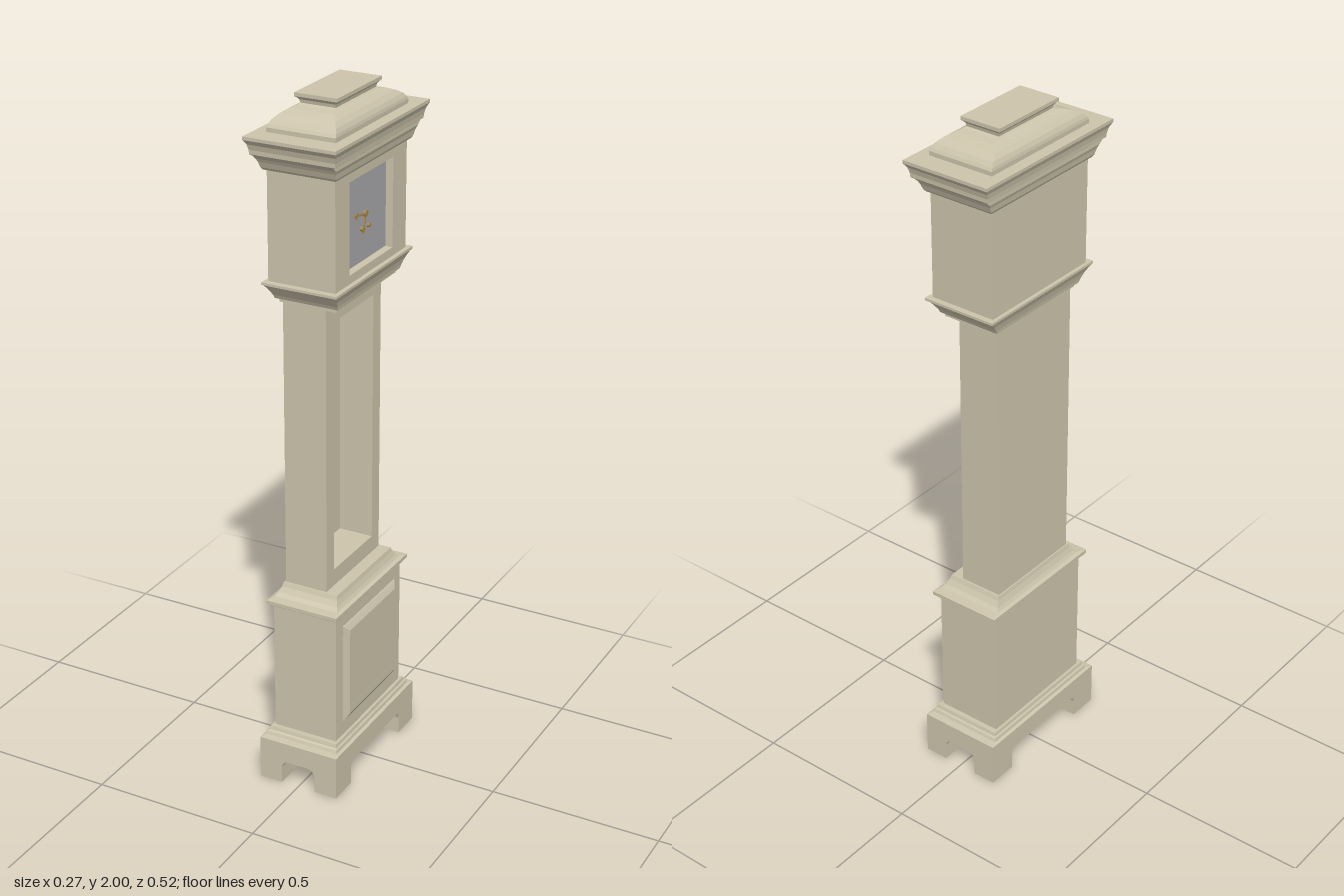
import * as THREE from 'three';

const wood = new THREE.MeshStandardMaterial({ color: 0xccc4ab });
const dialGrey = new THREE.MeshStandardMaterial({ color: 0xa8a8ac });
const brass = new THREE.MeshStandardMaterial({ color: 0xa88a4a });

const LOWER_Z = 0.003; // the case below the hood sits slightly off centre

// Stack of rectangles, each [x0, x1, z0, z1, y], skinned and capped with flat faces
function loft(rows) {
  const rings = rows.map(([x0, x1, z0, z1, y]) => [[x0, y, z1], [x1, y, z1], [x1, y, z0], [x0, y, z0]]);
  const pos = [];
  const quad = (a, b, c, d) => pos.push(...a, ...b, ...c, ...a, ...c, ...d);
  for (let r = 0; r < rings.length - 1; r++) {
    for (let i = 0; i < 4; i++) {
      const j = (i + 1) % 4;
      quad(rings[r][i], rings[r][j], rings[r + 1][j], rings[r + 1][i]);
    }
  }
  const [b0, b1, b2, b3] = rings[0];
  quad(b3, b2, b1, b0);
  quad(...rings[rings.length - 1]);
  const geo = new THREE.BufferGeometry();
  geo.setAttribute('position', new THREE.Float32BufferAttribute(pos, 3));
  geo.computeVertexNormals();
  return geo;
}

// Symmetric moulding from [halfX, halfZ, y] rows
const moulding = (rows, cz = 0) => loft(rows.map(([x, z, y]) => [-x, x, cz - z, cz + z, y]));

// Box given by its limits
const block = (x0, x1, y0, y1, z0, z1) => loft([[x0, x1, z0, z1, y0], [x0, x1, z0, z1, y1]]);

// Rectangular frame facing +x with a window cut through it
function frame(x0, x1, halfZ, y0, y1, holeZ, h0, h1) {
  const corners = (w, a, b) => [[-w, a], [w, a], [w, b], [-w, b]].map(p => new THREE.Vector2(...p));
  const shape = new THREE.Shape(corners(halfZ, y0, y1));
  shape.holes.push(new THREE.Path(corners(holeZ, h0, h1).reverse()));
  const geo = new THREE.ExtrudeGeometry(shape, { depth: x1 - x0, bevelEnabled: false });
  return geo.rotateY(Math.PI / 2).translate(x0, 0, 0);
}

export function createModel() {
  const group = new THREE.Group();
  const add = (name, geo, mat = wood, z = 0) => {
    const mesh = new THREE.Mesh(geo, mat);
    mesh.name = name;
    mesh.position.z = z;
    group.add(mesh);
    return mesh;
  };

  // Bracket feet: the inner edges curve outward under the plinth
  const footCurve = [[0, 0], [0, 0.05], [0.003, 0.06], [0.008, 0.067], [0.016, 0.071]];
  for (const sx of [-1, 1]) {
    for (const sz of [-1, 1]) {
      const rows = footCurve.map(([d, y]) => {
        const xs = [sx * 0.123, sx * (0.053 - d)].sort((a, b) => a - b);
        const zs = [sz * 0.24, sz * (0.151 - d)].sort((a, b) => a - b);
        return [...xs, ...zs, y];
      });
      add('foot', loft(rows), wood, LOWER_Z);
    }
  }

  // Plinth and base moulding
  add('plinth', moulding([
    [0.123, 0.24, 0.071], [0.123, 0.24, 0.131], [0.114, 0.22, 0.134], [0.112, 0.216, 0.143],
    [0.108, 0.212, 0.147], [0.106, 0.209, 0.157], [0.098, 0.194, 0.157]
  ], LOWER_Z));

  // Lower case with a raised panel on its face
  add('lowerCase', moulding([[0.098, 0.194, 0.157], [0.098, 0.194, 0.556]], LOWER_Z));
  const panel = add('raisedPanel', moulding([
    [0.153, 0.154, 0], [0.153, 0.154, 0.005], [0.146, 0.147, 0.009], [0.135, 0.136, 0.015]
  ]), wood, LOWER_Z);
  panel.rotation.z = -Math.PI / 2;
  panel.position.set(0.097, 0.357, LOWER_Z);

  // Moulding between lower case and trunk
  add('waistMoulding', moulding([
    [0.106, 0.208, 0.552], [0.11, 0.215, 0.557], [0.11, 0.215, 0.568], [0.099, 0.188, 0.571],
    [0.093, 0.177, 0.58], [0.087, 0.167, 0.595], [0.084, 0.162, 0.607]
  ], LOWER_Z));

  // Hollow trunk, open at its face
  add('trunkBack', block(-0.08, -0.055, 0.6, 1.45, -0.156, 0.156), wood, LOWER_Z);
  add('trunkFrame', frame(-0.055, 0.048, 0.156, 0.6, 1.45, 0.113, 0.657, 1.394), wood, LOWER_Z);

  // Flaring moulding below the hood
  add('neckMoulding', moulding([
    [0.085, 0.168, 1.446], [0.085, 0.168, 1.455], [0.094, 0.176, 1.457], [0.096, 0.182, 1.468],
    [0.101, 0.195, 1.485], [0.108, 0.208, 1.5], [0.111, 0.217, 1.504], [0.111, 0.217, 1.511]
  ], 0.001));

  // Hood with a recessed dial
  add('hoodBody', block(-0.1, 0.074, 1.51, 1.82, -0.199, 0.199));
  add('hoodFrame', frame(0.074, 0.098, 0.199, 1.51, 1.82, 0.122, 1.535, 1.787));
  add('dial', block(0.07, 0.077, 1.536, 1.777, -0.121, 0.121), dialGrey);

  // Hands, each a tapering bar with a small ring near its tip
  const hand = (name, length, angle) => {
    const pivot = new THREE.Group();
    pivot.name = name;
    const bar = new THREE.Mesh(new THREE.BoxGeometry(0.003, length, 0.005), brass);
    bar.position.y = length / 2;
    const ring = new THREE.Mesh(new THREE.TorusGeometry(0.006, 0.002, 6, 12), brass);
    ring.rotation.y = Math.PI / 2;
    ring.position.y = length * 0.8;
    pivot.add(bar, ring);
    pivot.position.set(0.08, 1.665, 0);
    pivot.rotation.x = angle;
    group.add(pivot);
  };
  hand('minuteHand', 0.062, Math.PI * 0.46);
  hand('hourHand', 0.055, Math.PI * 0.92);
  const disc = (name, radius, y, z) => {
    const geo = new THREE.CylinderGeometry(radius, radius, 0.008, 12).rotateZ(Math.PI / 2);
    add(name, geo, brass).position.set(0.08, y, z);
  };
  disc('handPin', 0.009, 1.665, 0);
  for (const s of [-1, 1]) disc('windingHole', 0.006, 1.627, s * 0.019);

  // Stepped cornice
  add('cornice', moulding([
    [0.105, 0.209, 1.815], [0.109, 0.215, 1.822], [0.112, 0.222, 1.838], [0.116, 0.228, 1.848],
    [0.116, 0.24, 1.858], [0.123, 0.246, 1.863], [0.124, 0.247, 1.875], [0.127, 0.252, 1.89],
    [0.133, 0.262, 1.903], [0.133, 0.262, 1.912]
  ]));

  // Domed cap with a flaring top block
  add('cap', moulding([
    [0.1, 0.2, 1.91], [0.1, 0.2, 1.924], [0.098, 0.195, 1.932], [0.092, 0.185, 1.943],
    [0.08, 0.163, 1.955], [0.066, 0.14, 1.964], [0.056, 0.118, 1.968], [0.051, 0.11, 1.972],
    [0.053, 0.112, 1.981], [0.058, 0.117, 1.987], [0.062, 0.121, 1.99], [0.062, 0.121, 2]
  ]));

  return group;
}
